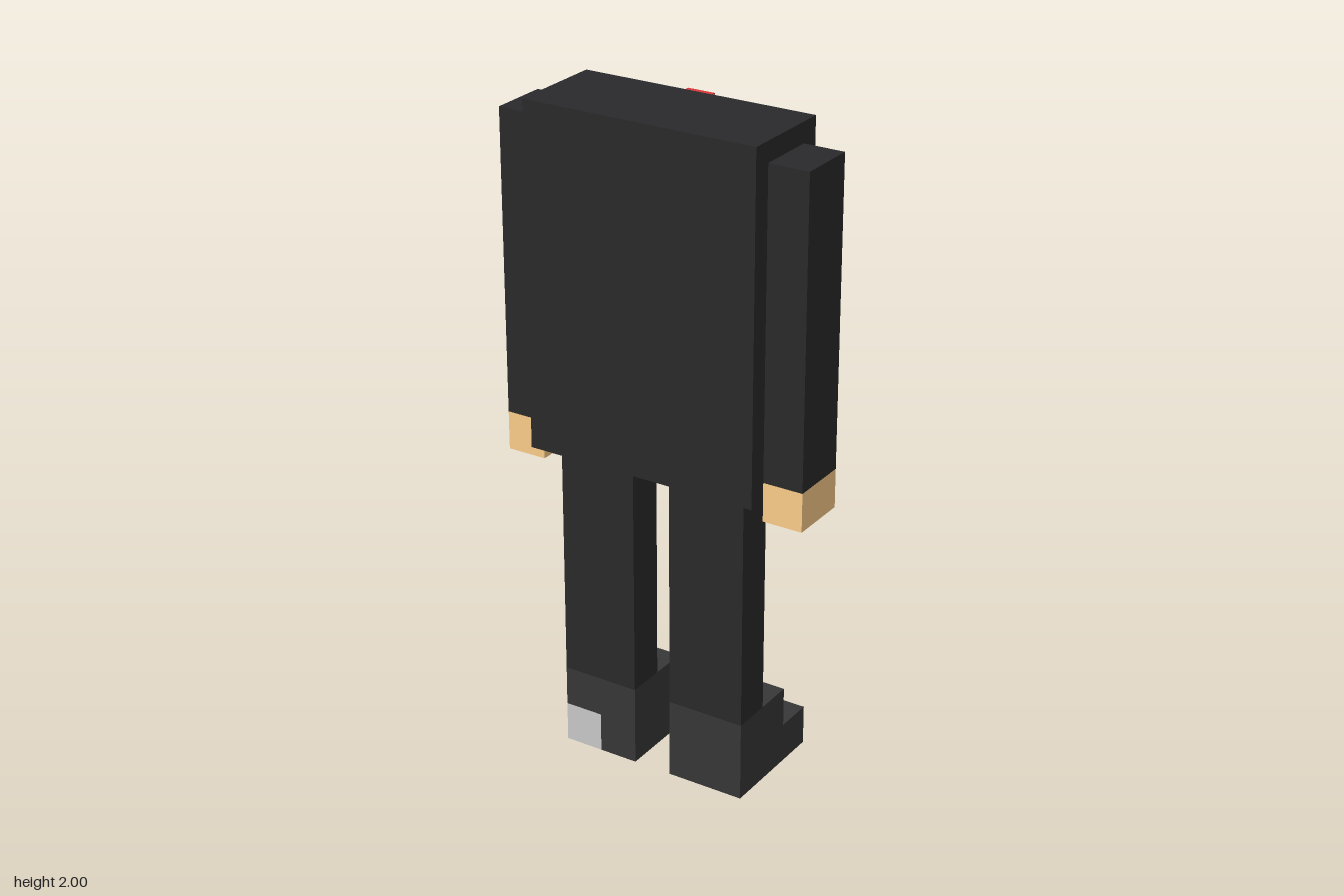
import * as THREE from 'three';
import { ConvexGeometry } from 'three/addons/geometries/ConvexGeometry.js';

const paint = (color, side = THREE.FrontSide) =>
  new THREE.MeshStandardMaterial({ color, side, flatShading: true });

export function createModel() {
  const model = new THREE.Group();
  model.name = 'suitedFigure';
  const suit = paint(0x2a2a2c), shoe = paint(0x383838), skin = paint(0xffd08c);
  const grey = paint(0xcccccc), red = paint(0xd83838);

  // Box given by its low and high limits on each axis
  const block = (name, material, [x0, x1], [y0, y1], [z0, z1]) => {
    const mesh = new THREE.Mesh(new THREE.BoxGeometry(x1 - x0, y1 - y0, z1 - z0), material);
    mesh.position.set((x0 + x1) / 2, (y0 + y1) / 2, (z0 + z1) / 2);
    mesh.name = name;
    model.add(mesh);
  };

  block('jacket', suit, [-0.362, 0.362], [0.975, 2], [-0.09, 0.21]);

  for (const [side, s] of [['left', 1], ['right', -1]]) {
    // Span on the x axis, mirrored for the right side
    const span = (a, b) => (s > 0 ? [a, b] : [-b, -a]);
    const arm = span(0.362, 0.484), leg = span(0.06, 0.301);
    block(side + 'Sleeve', suit, arm, [1.032, 1.94], [-0.03, 0.15]);
    block(side + 'Hand', skin, arm, [0.915, 1.032], [-0.03, 0.15]);
    block(side + 'Leg', suit, leg, [0.245, 0.975], [0.03, 0.15]);
    block(side + 'ShoeUpper', shoe, leg, [0.122, 0.245], [-0.09, 0.15]);
    if (s > 0) block('leftShoeSole', shoe, leg, [0, 0.122], [-0.21, 0.15]);
  }

  // Right sole leaves its outer heel corner free for the grey patch
  block('rightShoeSoleInner', shoe, [-0.181, -0.06], [0, 0.122], [-0.21, 0.15]);
  block('rightShoeSoleToe', shoe, [-0.301, -0.181], [0, 0.122], [-0.21, -0.03]);
  block('rightHeelPatch', grey, [-0.301, -0.181], [0, 0.122], [-0.03, 0.15]);

  // Shirt triangle lying on the chest
  const triangle = new THREE.Shape([
    new THREE.Vector2(-0.362, 2), new THREE.Vector2(0, 1.49), new THREE.Vector2(0.362, 2),
  ]);
  const shirt = new THREE.Mesh(new THREE.ShapeGeometry(triangle), paint(0xcccccc, THREE.DoubleSide));
  shirt.name = 'shirt';
  shirt.position.z = -0.091;
  model.add(shirt);

  // Tie: a flat bar tapering to a point on the chest
  const corners = [new THREE.Vector3(0, 1.29, -0.09)];
  for (const x of [-0.041, 0.043])
    for (const y of [1.38, 2])
      for (const z of [-0.105, -0.09]) corners.push(new THREE.Vector3(x, y, z));
  const tie = new THREE.Mesh(new ConvexGeometry(corners), red);
  tie.name = 'tie';
  model.add(tie);

  return model;
}
